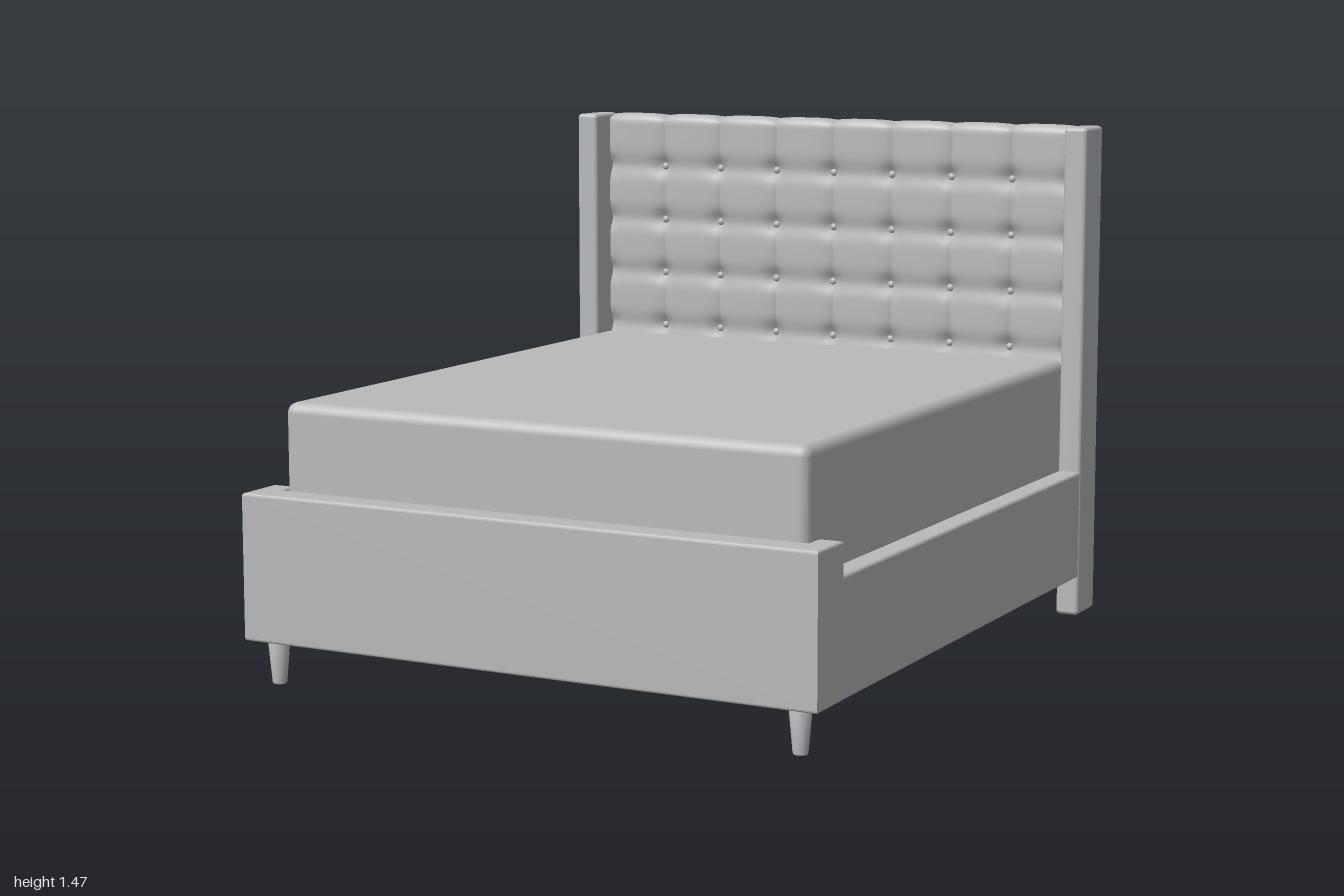
import * as THREE from 'three';
import { RoundedBoxGeometry } from 'three/addons/geometries/RoundedBoxGeometry.js';
import { ParametricGeometry } from 'three/addons/geometries/ParametricGeometry.js';

const PITCH_X = 0.1975, PITCH_Y = 0.17, ROW0 = 0.625, ROWS = 5;

// Depth of the tufting at a point on the cushion face
function tuftDepth(x, y) {
  const sx = x / PITCH_X, sy = (y - ROW0) / PITCH_Y;
  const row = THREE.MathUtils.clamp(Math.round(sy), 0, ROWS - 1);
  const dx = Math.abs(sx - Math.round(sx)) * PITCH_X;
  const dy = Math.abs(sy - row) * PITCH_Y;
  const seam = 0.006 * Math.exp(-dx / 0.012) + 0.006 * Math.exp(-((dx / 0.04) ** 2));
  const fold = 0.007 * Math.exp(-((dy / 0.03) ** 2));
  const dimple = 0.012 * Math.exp(-(dx * dx + dy * dy) / 0.0009);
  return seam + fold + dimple;
}

// Closed rounded profile swept along x, pressed in by the tufting on its front
function cushionGeometry() {
  const back = -0.985, front = -0.908, bottom = 0.55, top = 1.472, r = 0.03;
  const path = new THREE.Path();
  path.moveTo(back + r, bottom);
  path.lineTo(front - r, bottom);
  path.absarc(front - r, bottom + r, r, -Math.PI / 2, 0, false);
  path.lineTo(front, top - r);
  path.absarc(front - r, top - r, r, 0, Math.PI / 2, false);
  path.lineTo(back + r, top);
  path.absarc(back + r, top - r, r, Math.PI / 2, Math.PI, false);
  path.lineTo(back, bottom + r);
  path.absarc(back + r, bottom + r, r, Math.PI, Math.PI * 1.5, false);
  const p = new THREE.Vector2(), t = new THREE.Vector2();
  return new ParametricGeometry((u, v, target) => {
    const x = (u - 0.5) * 1.58;
    path.getPoint(v, p);
    path.getTangent(v, t);
    const d = tuftDepth(x, p.y) * THREE.MathUtils.smoothstep(p.x, back + 0.005, front - 0.025);
    target.set(x, p.y - -t.x * d, p.x - t.y * d);
  }, 128, 180);
}

export function createModel() {
  const model = new THREE.Group();
  model.name = 'bed';
  const grey = new THREE.MeshStandardMaterial({ color: 0xbababa });
  grey.name = 'grey';

  const add = (name, geometry, x = 0, y = 0, z = 0) => {
    const mesh = new THREE.Mesh(geometry, grey);
    mesh.name = name;
    mesh.position.set(x, y, z);
    model.add(mesh);
    return mesh;
  };
  // Box given by its limits, with optional rounded edges
  const box = (name, x0, x1, y0, y1, z0, z1, r = 0) => {
    const s = [x1 - x0, y1 - y0, z1 - z0];
    const g = r ? new RoundedBoxGeometry(...s, 3, r) : new THREE.BoxGeometry(...s);
    return add(name, g, (x0 + x1) / 2, (y0 + y1) / 2, (z0 + z1) / 2);
  };

  // Mattress
  box('mattress', -0.787, 0.787, 0.4, 0.772, -0.898, 0.905, 0.03);

  // Footboard with short returns at the corners
  const plan = new THREE.Shape();
  plan.moveTo(-0.862, -1);
  plan.lineTo(0.862, -1);
  plan.lineTo(0.862, -0.85);
  plan.lineTo(0.792, -0.85);
  plan.lineTo(0.792, -0.91);
  plan.lineTo(-0.792, -0.91);
  plan.lineTo(-0.792, -0.85);
  plan.lineTo(-0.862, -0.85);
  plan.closePath();
  const footboard = new THREE.ExtrudeGeometry(plan, {
    depth: 0.394, bevelThickness: 0.008, bevelSize: 0.008, bevelOffset: -0.008, bevelSegments: 3,
  });
  footboard.rotateX(-Math.PI / 2);
  add('footboard', footboard, 0, 0.13, 0);

  // Mirrored side parts
  const legProfile = [[0, 0], [0.018, 0], [0.02, 0.004], [0.031, 0.125], [0, 0.125]]
    .map(([r, y]) => new THREE.Vector2(r, y));
  for (const s of [1, -1]) {
    const side = s > 0 ? 'left' : 'right';
    const span = (a, b) => (s > 0 ? [a, b] : [-b, -a]);
    box(`${side}Post`, ...span(0.792, 0.862), 0.004, 1.47, -0.98, -0.836, 0.012);
    box(`${side}Rail`, ...span(0.792, 0.862), 0.122, 0.444, -0.84, 0.87, 0.01);
    add(`${side}FrontLeg`, new THREE.LatheGeometry(legProfile, 24), s * 0.79, 0, 0.943);

    // Bar that carries the slat ends
    const bar = new THREE.CapsuleGeometry(0.014, 1.85, 4, 12);
    bar.rotateX(Math.PI / 2);
    add(`${side}SlatBar`, bar, s * 0.776, 0.37, -0.035);

    // Outer strip of the headboard back
    box(`${side}BackStrip`, ...span(0.54, 0.782), 0.58, 1.415, -1, -0.982);
  }

  // Headboard
  add('headboardCushion', cushionGeometry());
  box('headboardBack', -0.545, 0.545, 0.58, 1.415, -0.996, -0.982);

  // Buttons at the seam crossings
  const buttonGeometry = new THREE.SphereGeometry(0.011, 14, 10);
  buttonGeometry.scale(1, 1, 0.7);
  for (let row = 0; row < ROWS; row++) {
    for (let col = -3; col <= 3; col++) {
      const x = col * PITCH_X, y = ROW0 + row * PITCH_Y;
      add('button', buttonGeometry, x, y, -0.908 - tuftDepth(x, y) + 0.005);
    }
  }

  // Slats under the mattress
  const slats = 24, step = 1.8 / slats;
  for (let i = 0; i < slats; i++) {
    const z = -0.895 + i * step;
    box('slat', -0.79, 0.79, 0.382, 0.402, z, z + step - 0.01);
  }
  return model;
}
